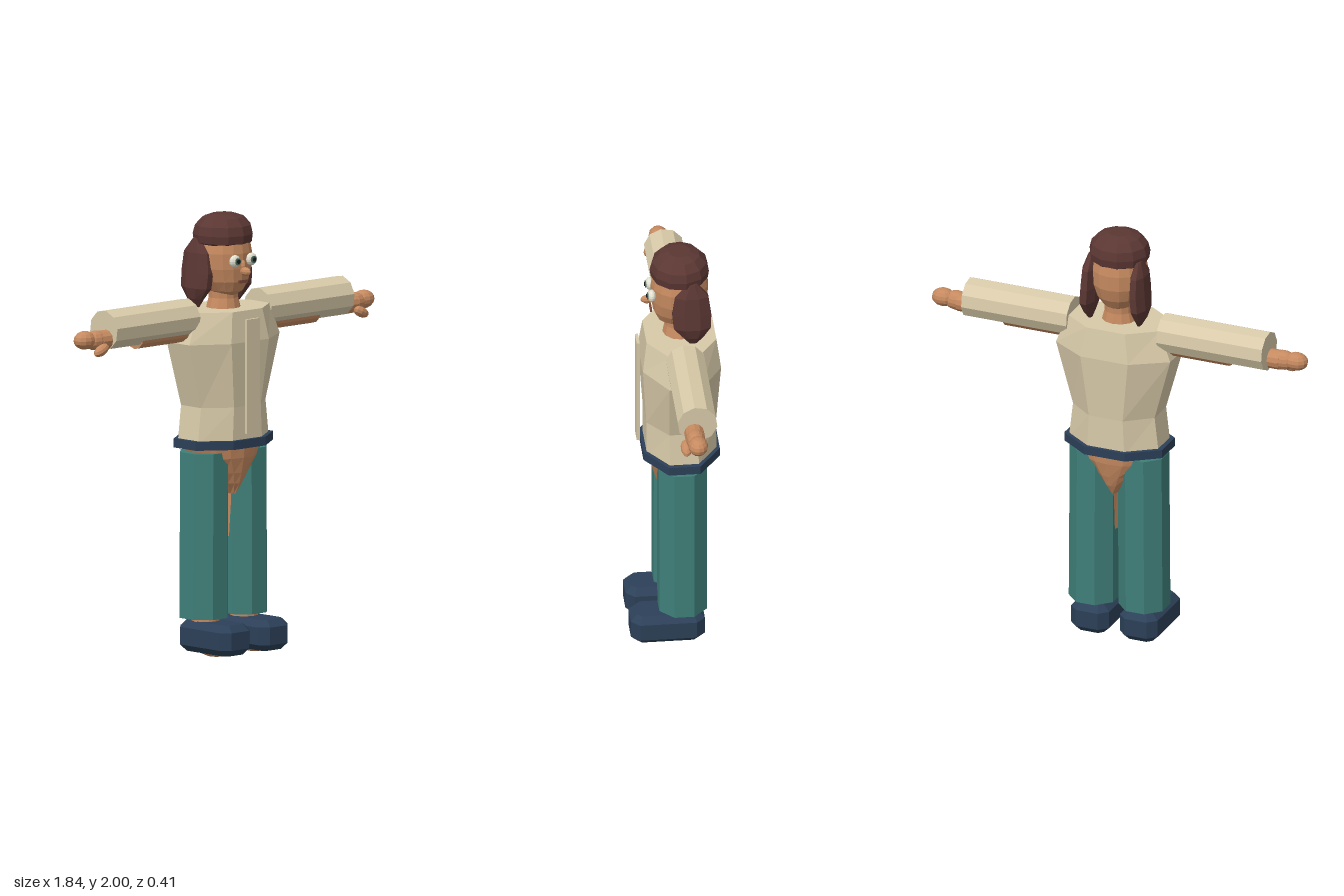
import * as THREE from 'three';

const mat = (name, color) => {
  const m = new THREE.MeshStandardMaterial({ color, flatShading: true });
  m.name = name;
  return m;
};

// Stack of elliptical rings, listed top to bottom as [y, centreX, centreZ, radiusX, radiusZ]
function loft(rings, sides, turn = 0) {
  const last = rings.length - 1;
  const g = new THREE.CylinderGeometry(1, 1, 1, sides, last, false, turn);
  const p = g.attributes.position;
  for (let i = 0; i < p.count; i++) {
    const [y, cx, cz, rx, rz] = rings[Math.round((0.5 - p.getY(i)) * last)];
    p.setXYZ(i, cx + p.getX(i) * rx, y, cz + p.getZ(i) * rz);
  }
  g.computeVertexNormals();
  return g;
}

// Box with chamfered edges
function chamferBox(w, h, d, c) {
  const s = new THREE.Shape();
  const a = w / 2 - c, b = d / 2 - c;
  s.moveTo(-a, -b + c * 0.7);
  s.lineTo(-a + c * 0.7, -b);
  s.lineTo(a - c * 0.7, -b);
  s.lineTo(a, -b + c * 0.7);
  s.lineTo(a, b - c * 0.7);
  s.lineTo(a - c * 0.7, b);
  s.lineTo(-a + c * 0.7, b);
  s.lineTo(-a, b - c * 0.7);
  const g = new THREE.ExtrudeGeometry(s, {
    depth: h - 2 * c, bevelEnabled: true, bevelThickness: c, bevelSize: c, bevelSegments: 1,
  });
  return g.translate(0, 0, -h / 2 + c).rotateX(-Math.PI / 2);
}

const ball = (rx, ry, rz, w = 12, h = 8) => new THREE.SphereGeometry(1, w, h).scale(rx, ry, rz);

export function createModel() {
  const model = new THREE.Group();
  const skin = mat('skin', 0xc68a60);
  const cream = mat('cream cloth', 0xd8caa9);
  const teal = mat('teal cloth', 0x3f7f79);
  const navy = mat('navy leather', 0x2c4058);
  const hair = mat('brown hair', 0x5b3733);
  const white = mat('eye white', 0xe4e2d2);
  const green = mat('iris green', 0x4a6a5c);
  const black = mat('pupil black', 0x151a1c);
  const lip = mat('lip brown', 0x7d4a3a);

  const add = (name, geo, material, x = 0, y = 0, z = 0, parent = model) => {
    const m = new THREE.Mesh(geo, material);
    m.name = name;
    m.position.set(x, y, z);
    parent.add(m);
    return m;
  };

  const EIGHTH = Math.PI / 8;
  const K = 1 / Math.cos(EIGHTH); // flat width to corner radius
  const Z = -0.03;

  // Shirt, front placket and belt
  add('shirt', loft([
    [1.575, 0, Z, 0.225 * K, 0.158 * K],
    [1.435, 0, Z, 0.28 * K, 0.177 * K],
    [1.14, 0, Z, 0.2 * K, 0.158 * K],
    [0.97, 0, Z, 0.22 * K, 0.158 * K],
  ], 8, EIGHTH), cream);
  add('placket', new THREE.BoxGeometry(0.08, 0.52, 0.014), cream, 0, 1.28, 0.16);
  add('belt', loft([
    [0.99, 0, Z, 0.24 * K, 0.173 * K],
    [0.95, 0, Z, 0.24 * K, 0.173 * K],
  ], 8, EIGHTH), navy);

  // Hips taper to a point between the trouser legs
  add('hips', loft([
    [0.96, 0, Z, 0.205, 0.14],
    [0.9, 0, Z, 0.18, 0.135],
    [0.83, 0, Z, 0.105, 0.12],
    [0.78, 0, Z, 0.06, 0.105],
    [0.73, 0, Z, 0.015, 0.08],
  ], 16), skin);

  // Neck and head
  add('neck', loft([
    [1.7, 0, Z, 0.07, 0.07],
    [1.62, 0, Z, 0.068, 0.068],
    [1.56, 0, Z, 0.085, 0.08],
  ], 12), skin);
  add('head', loft([
    [1.95, 0, Z, 0.07, 0.08],
    [1.9, 0, Z, 0.115, 0.118],
    [1.83, 0, Z, 0.128, 0.13],
    [1.76, 0, Z, 0.124, 0.128],
    [1.7, 0, Z + 0.005, 0.105, 0.115],
    [1.655, 0, Z + 0.01, 0.075, 0.09],
    [1.63, 0, Z + 0.01, 0.035, 0.05],
  ], 16), skin);
  add('nose', ball(0.018, 0.02, 0.032, 8, 6), skin, 0, 1.75, 0.115);
  add('noseBridge', ball(0.01, 0.026, 0.014, 8, 6), skin, 0, 1.775, 0.1);
  add('mouth', new THREE.BoxGeometry(0.052, 0.014, 0.009), lip, 0, 1.703, 0.1);

  // Hair cap
  add('hairCap', loft([
    [2.0, 0, Z, 0.055, 0.05],
    [1.985, 0, Z, 0.098, 0.092],
    [1.95, 0, Z, 0.13, 0.125],
    [1.91, 0, Z, 0.14, 0.135],
    [1.875, 0, Z, 0.135, 0.13],
    [1.86, 0, Z, 0.11, 0.105],
  ], 11), hair);

  for (const s of [1, -1]) {
    const side = new THREE.Group();
    side.name = s > 0 ? 'leftSide' : 'rightSide';
    model.add(side);
    const put = (name, geo, material, x = 0, y = 0, z = 0) => add(name, geo, material, s * x, y, z, side);

    // Side lock of hair
    put('hairLock', loft([
      [1.895, s * 0.115, -0.075, 0.015, 0.025],
      [1.83, s * 0.118, -0.073, 0.034, 0.082],
      [1.74, s * 0.12, -0.073, 0.04, 0.095],
      [1.67, s * 0.125, -0.075, 0.04, 0.09],
      [1.62, s * 0.125, -0.08, 0.027, 0.05],
      [1.58, s * 0.12, -0.08, 0.008, 0.018],
    ], 8, EIGHTH), hair);

    // Eye with iris and pupil plates
    put('eye', ball(0.029, 0.029, 0.02), white, 0.051, 1.8, 0.1);
    const disc = r => new THREE.CylinderGeometry(r, r, 0.006, 12).rotateX(Math.PI / 2);
    put('iris', disc(0.016), green, 0.049, 1.8, 0.118);
    put('pupil', disc(0.009), black, 0.049, 1.8, 0.1215);

    // Sleeve, with the arm showing underneath
    put('sleeve', new THREE.CylinderGeometry(0.091, 0.091, 0.515, 10).rotateY(0.17).rotateZ(Math.PI / 2),
      cream, 0.478, 1.545, -0.036);
    put('arm', new THREE.CylinderGeometry(0.058, 0.058, 0.3, 12).rotateZ(Math.PI / 2), skin, 0.4, 1.498, Z);

    // Hand
    put('wrist', new THREE.CylinderGeometry(0.045, 0.045, 0.14, 12).rotateZ(Math.PI / 2), skin, 0.72, 1.505, -0.02);
    put('palm', ball(0.065, 0.045, 0.043), skin, 0.8, 1.508, -0.02);
    put('fingers', ball(0.055, 0.042, 0.045), skin, 0.865, 1.515, -0.025);
    const thumb = put('thumb', ball(0.045, 0.024, 0.026, 10, 6), skin, 0.805, 1.468, 0.022);
    thumb.rotation.z = -s * 0.45;

    // Trouser leg, slightly splayed
    put('trouserLeg', loft([
      [0.93, s * 0.118, Z, 0.107 * K, 0.108 * K],
      [0.175, s * 0.122, Z, 0.108 * K, 0.108 * K],
    ], 8, EIGHTH), teal);
    put('innerThigh', loft([
      [0.8, s * 0.07, Z, 0.07, 0.08],
      [0.53, s * 0.085, Z, 0.08, 0.07],
    ], 12), skin);

    // Ankle, shoe and the bare patch in the sole
    put('ankle', new THREE.CylinderGeometry(0.065, 0.065, 0.08, 12), skin, 0.12, 0.15, -0.02);
    put('shoe', chamferBox(0.185, 0.14, 0.335, 0.03), navy, 0.119, 0.09, 0.04);
    put('footSole', ball(0.075, 0.05, 0.1), skin, 0.12, 0.05, 0.04);
  }
  return model;
}
